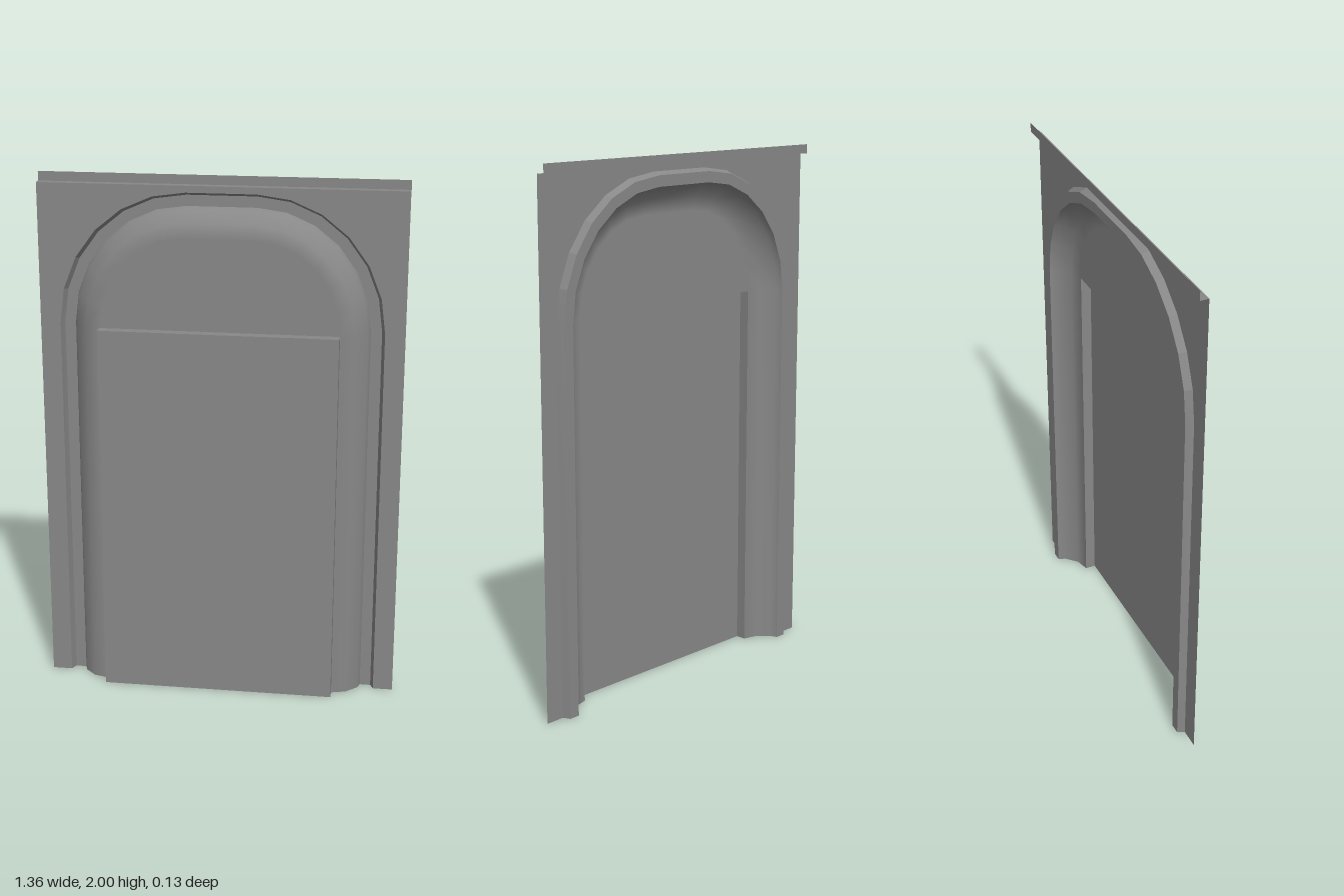
import * as THREE from 'three';
import { toCreasedNormals } from 'three/addons/utils/BufferGeometryUtils.js';

const HALF = 0.68, SHOULDER = 1.44, FLAT = 0.13, STEPS = 6;
const Z_LIP = -0.065, Z_GROOVE = -0.059, Z_SHEET = -0.032, Z_DOME = 0.025, Z_PANEL = 0.065;
const PANEL = 0.445, LIP_Y = 1.965;

// Round-shouldered arch of half width w, from the foot at +x over to -x
function archPoints(w, foot = 0) {
  const right = [];
  if (foot < SHOULDER) right.push(new THREE.Vector2(w, foot));
  for (let i = 0; i <= STEPS; i++) {
    const a = (i / STEPS) * Math.PI / 2;
    right.push(new THREE.Vector2(
      FLAT + (w - FLAT) * Math.cos(a),
      SHOULDER + (1.335 + w - SHOULDER) * Math.sin(a)));
  }
  const left = right.map(p => new THREE.Vector2(-p.x, p.y)).reverse();
  return right.concat(left);
}

// Band swept along the arch; profile is a list of [halfWidth, z], outside to inside
function archBand(profile) {
  const pos = [], idx = [];
  let n = 0;
  for (const [w, z] of profile) {
    const pts = archPoints(w);
    n = pts.length;
    for (const p of pts) pos.push(p.x, p.y, z);
  }
  for (let i = 0; i < profile.length - 1; i++) {
    for (let j = 0; j < n - 1; j++) {
      const a = i * n + j, b = a + 1, c = a + n, d = c + 1;
      idx.push(a, b, c, b, d, c);
    }
  }
  const g = new THREE.BufferGeometry();
  g.setAttribute('position', new THREE.Float32BufferAttribute(pos, 3));
  g.setIndex(idx);
  g.computeVertexNormals();
  return g;
}

export function createModel() {
  const group = new THREE.Group();
  const material = new THREE.MeshStandardMaterial({ color: 0x888888, side: THREE.DoubleSide });
  const add = (name, geometry, x = 0, y = 0, z = 0) => {
    const mesh = new THREE.Mesh(geometry, material);
    mesh.name = name;
    mesh.position.set(x, y, z);
    group.add(mesh);
  };

  // Flat sheet around the arch
  const sheet = new THREE.Shape([
    new THREE.Vector2(-HALF, 0), new THREE.Vector2(-HALF, LIP_Y),
    new THREE.Vector2(HALF, LIP_Y), new THREE.Vector2(HALF, 0),
    ...archPoints(0.605),
  ]);
  add('sheet', new THREE.ShapeGeometry(sheet), 0, 0, Z_SHEET);

  // Stepped-back lip along the top edge
  add('lipLedge', new THREE.PlaneGeometry(2 * HALF, Z_SHEET - Z_LIP).rotateX(-Math.PI / 2),
    0, LIP_Y, (Z_SHEET + Z_LIP) / 2);
  add('lip', new THREE.PlaneGeometry(2 * HALF, 2 - LIP_Y), 0, (2 + LIP_Y) / 2, Z_LIP);

  // Groove pressed back around the arch
  add('grooveWall', toCreasedNormals(archBand([[0.605, Z_SHEET], [0.593, Z_GROOVE]]), 0.2));
  add('grooveFloor', archBand([[0.593, Z_GROOVE], [0.552, Z_GROOVE]]));

  // Rounded dome rising from the groove; its inner rim shades smoothly into the flat face
  const domeEdge = archBand([[0.552, Z_GROOVE], [0.543, Z_SHEET], [0.5, 0.01], [PANEL, Z_DOME]]);
  const normal = domeEdge.attributes.normal;
  for (let i = normal.count * 3 / 4; i < normal.count; i++) normal.setXYZ(i, 0, 0, 1);
  add('domeEdge', domeEdge);
  add('domeFace', new THREE.ShapeGeometry(new THREE.Shape(archPoints(PANEL, SHOULDER))), 0, 0, Z_DOME);

  // Raised panel, hollow at the back and open at the foot
  const depth = Z_PANEL - Z_DOME, zMid = (Z_PANEL + Z_DOME) / 2;
  add('panelFace', new THREE.PlaneGeometry(2 * PANEL, SHOULDER), 0, SHOULDER / 2, Z_PANEL);
  add('panelTop', new THREE.PlaneGeometry(2 * PANEL, depth).rotateX(-Math.PI / 2), 0, SHOULDER, zMid);
  for (const s of [1, -1]) {
    add(s > 0 ? 'panelSideLeft' : 'panelSideRight',
      new THREE.PlaneGeometry(depth, SHOULDER).rotateY(s * Math.PI / 2), s * PANEL, SHOULDER / 2, zMid);
  }

  return group;
}
